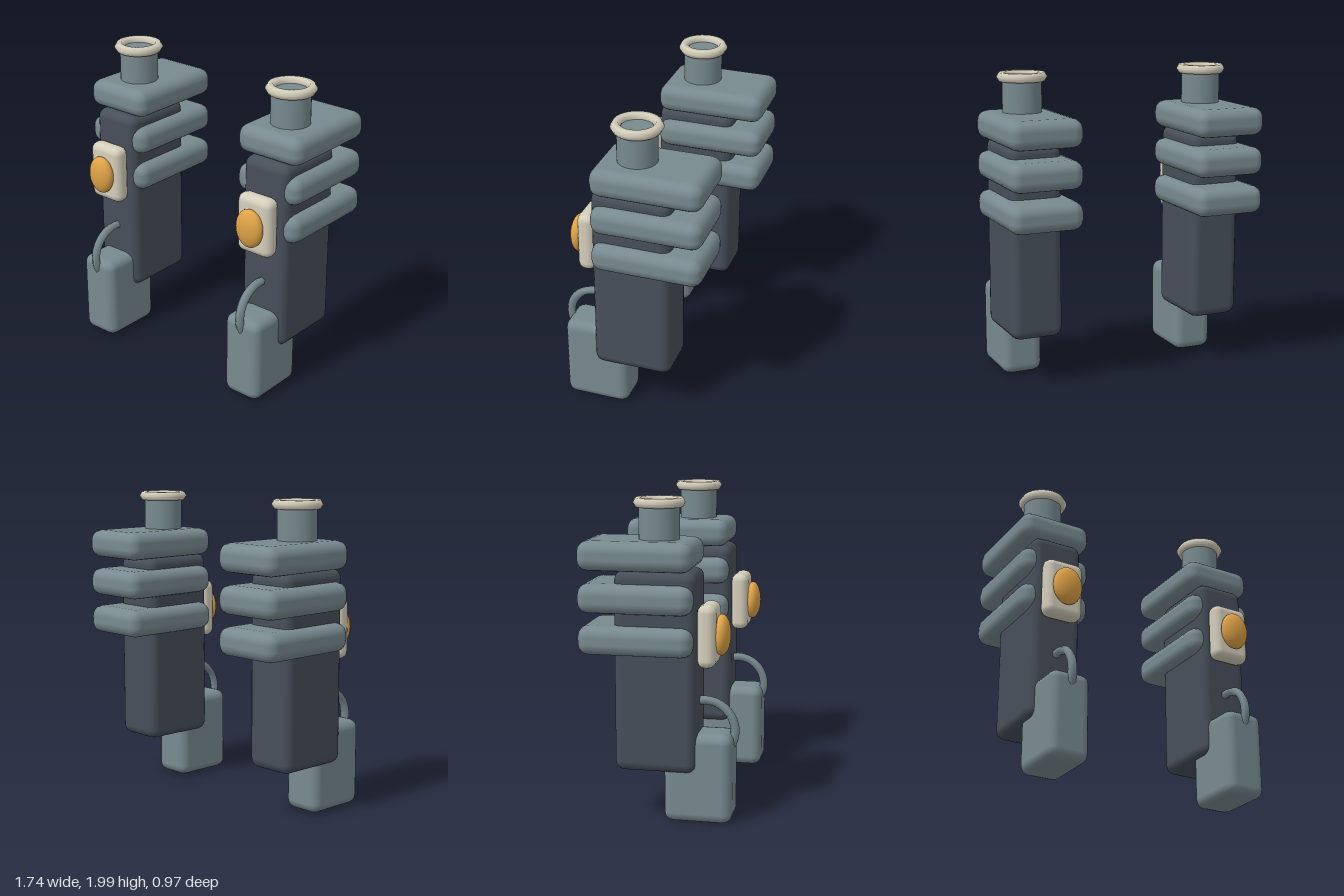
import * as THREE from 'three';
import { RoundedBoxGeometry } from 'three/addons/geometries/RoundedBoxGeometry.js';

function material(name, color) {
  const m = new THREE.MeshStandardMaterial({ color });
  m.name = name;
  return m;
}

export function createModel() {
  const steel = material('blue grey', 0x788a90);
  const dark = material('dark slate', 0x474f5a);
  const cream = material('cream', 0xd4cebb);
  const amber = material('amber', 0xdfa347);

  // one tower standing on x = 0
  function createTower(name) {
    const tower = new THREE.Group();
    tower.name = name;
    const add = (part, geometry, mat, x, y, z) => {
      const mesh = new THREE.Mesh(geometry, mat);
      mesh.name = part;
      mesh.position.set(x, y, z);
      tower.add(mesh);
      return mesh;
    };
    // rounded block given by width and its y and z ranges
    const block = (part, mat, w, [y0, y1], [z0, z1], r) =>
      add(part, new RoundedBoxGeometry(w, y1 - y0, z1 - z0, 2, r), mat,
        0, (y0 + y1) / 2, (z0 + z1) / 2);

    block('body', dark, 0.34, [0.325, 1.57], [-0.27, 0.24], 0.06);
    block('foot', steel, 0.27, [0.005, 0.57], [0.03, 0.455], 0.06);

    // stacked slabs overhanging the back
    [1.055, 1.31, 1.568].forEach((y, i) =>
      block('fin' + (i + 1), steel, 0.48, [y, y + 0.182], [-0.485, 0.225], 0.07));

    // neck with a rim
    add('neck', new THREE.CylinderGeometry(0.125, 0.125, 0.27, 32), steel, 0, 1.83, -0.015);
    const rim = add('neckRim', new THREE.TorusGeometry(0.128, 0.032, 6, 32), cream, 0, 1.972, -0.015);
    rim.rotation.x = Math.PI / 2;

    // front badge with an oval lamp
    block('lampPlate', cream, 0.26, [0.98, 1.37], [0.235, 0.35], 0.05);
    const lamp = add('lamp', new THREE.SphereGeometry(1, 32, 20), amber, 0, 1.175, 0.372);
    lamp.scale.set(0.098, 0.127, 0.054);

    // hoop joining the body and foot
    const hoop = add('hoop', new THREE.TorusGeometry(0.187, 0.028, 6, 36), steel, 0, 0.575, 0.27);
    hoop.rotation.y = Math.PI / 2;
    return tower;
  }

  const model = new THREE.Group();
  model.name = 'towerPair';
  for (const side of [-1, 1]) {
    const tower = createTower(side < 0 ? 'rightTower' : 'leftTower');
    tower.position.x = side * 0.63;
    model.add(tower);
  }
  return model;
}
